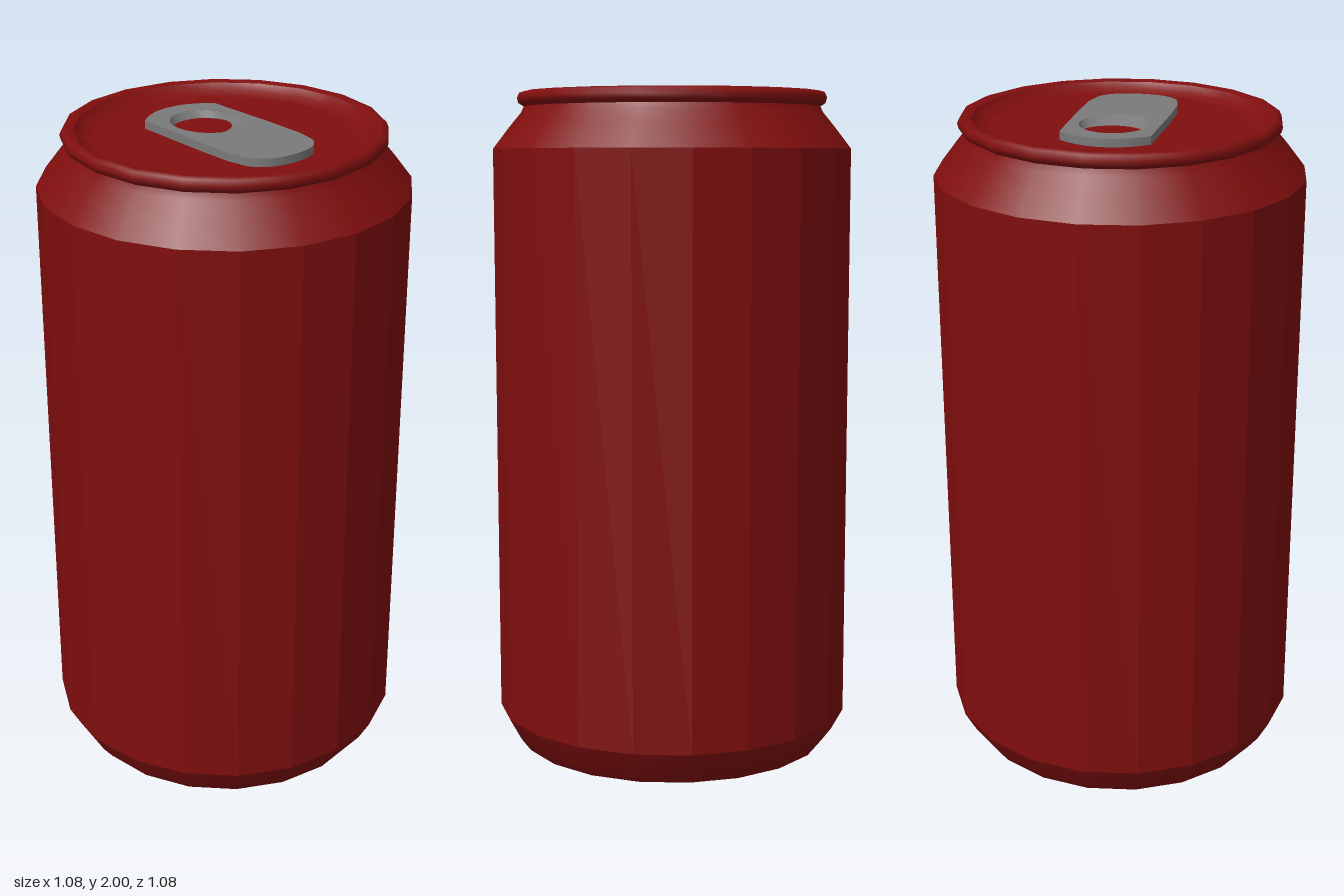
import * as THREE from 'three';

const SIDES = 20;

export function createModel() {
  const red = new THREE.MeshStandardMaterial({ color: 0x800e0e });
  red.name = 'red paint';
  const wallRed = red.clone();
  wallRed.flatShading = true;
  wallRed.name = 'red paint flat';
  const grey = new THREE.MeshStandardMaterial({ color: 0x7a7a7a, side: THREE.DoubleSide });
  grey.name = 'grey metal';

  const can = new THREE.Group();
  can.name = 'drinkCan';

  const add = (parent, name, geometry, material) => {
    const mesh = new THREE.Mesh(geometry, material);
    mesh.name = name;
    parent.add(mesh);
  };

  // Turned body sections, each a radius/height profile; breaks between them are sharp
  const turned = (name, profile, material = red) =>
    add(can, name, new THREE.LatheGeometry(profile.map(([r, y]) => new THREE.Vector2(r, y)), SIDES), material);

  turned('base', [[0, 0.035], [0.25, 0.03], [0.4, 0.015], [0.45, 0]]);
  turned('baseRing', [[0.45, 0], [0.475, 0.005]]);
  turned('baseChamfer', [[0.475, 0.005], [0.505, 0.045], [0.54, 0.11]]);
  turned('wall', [[0.54, 0.11], [0.54, 1.83]], wallRed);
  turned('shoulder', [[0.54, 1.83], [0.49, 1.895], [0.455, 1.937], [0.447, 1.955]]);
  turned('rim', [[0.447, 1.955], [0.463, 1.965], [0.467, 1.98], [0.46, 1.995], [0.445, 2], [0.428, 1.994]]);
  turned('lid', [[0.428, 1.994], [0.41, 1.973], [0.375, 1.963], [0.2, 1.961], [0, 1.961]]);

  // Pull tab: flat plate with an elliptical opening
  const tab = new THREE.Group();
  tab.name = 'pullTab';
  can.add(tab);
  const bottom = 1.964, top = 1.988;
  const rimHole = { z: -0.082, rx: 0.1, rz: 0.112 };
  const innerHole = { z: -0.101, rx: 0.091, rz: 0.078 };

  const outline = new THREE.Shape();
  outline.moveTo(-0.13, 0.2);
  outline.quadraticCurveTo(-0.07, 0.255, 0, 0.255);
  outline.quadraticCurveTo(0.07, 0.255, 0.13, 0.2);
  outline.lineTo(0.135, -0.05);
  outline.lineTo(0.133, -0.17);
  outline.lineTo(0.12, -0.235);
  outline.bezierCurveTo(0.1, -0.275, 0.06, -0.294, 0, -0.294);
  outline.bezierCurveTo(-0.06, -0.294, -0.1, -0.275, -0.12, -0.235);
  outline.lineTo(-0.133, -0.17);
  outline.lineTo(-0.135, -0.05);
  outline.closePath();
  const hole = new THREE.Path();
  hole.absellipse(0, -rimHole.z, rimHole.rx, rimHole.rz, 0, Math.PI * 2, true);
  outline.holes.push(hole);
  const plate = new THREE.ExtrudeGeometry(outline, { depth: top - bottom, bevelEnabled: false, curveSegments: 12 });
  plate.rotateX(-Math.PI / 2).translate(0, bottom, 0);
  add(tab, 'tabPlate', plate, grey);

  // Sloping funnel from the plate's opening to the smaller hole below
  const funnel = new THREE.CylinderGeometry(1, 1, 1, 32, 1, true);
  const p = funnel.attributes.position;
  for (let i = 0; i < p.count; i++) {
    const upper = p.getY(i) > 0;
    const ring = upper ? rimHole : innerHole;
    p.setXYZ(i, p.getX(i) * ring.rx, upper ? top : bottom + 0.003, ring.z + p.getZ(i) * ring.rz);
  }
  funnel.computeVertexNormals();
  add(tab, 'tabFunnel', funnel, grey);

  return can;
}
